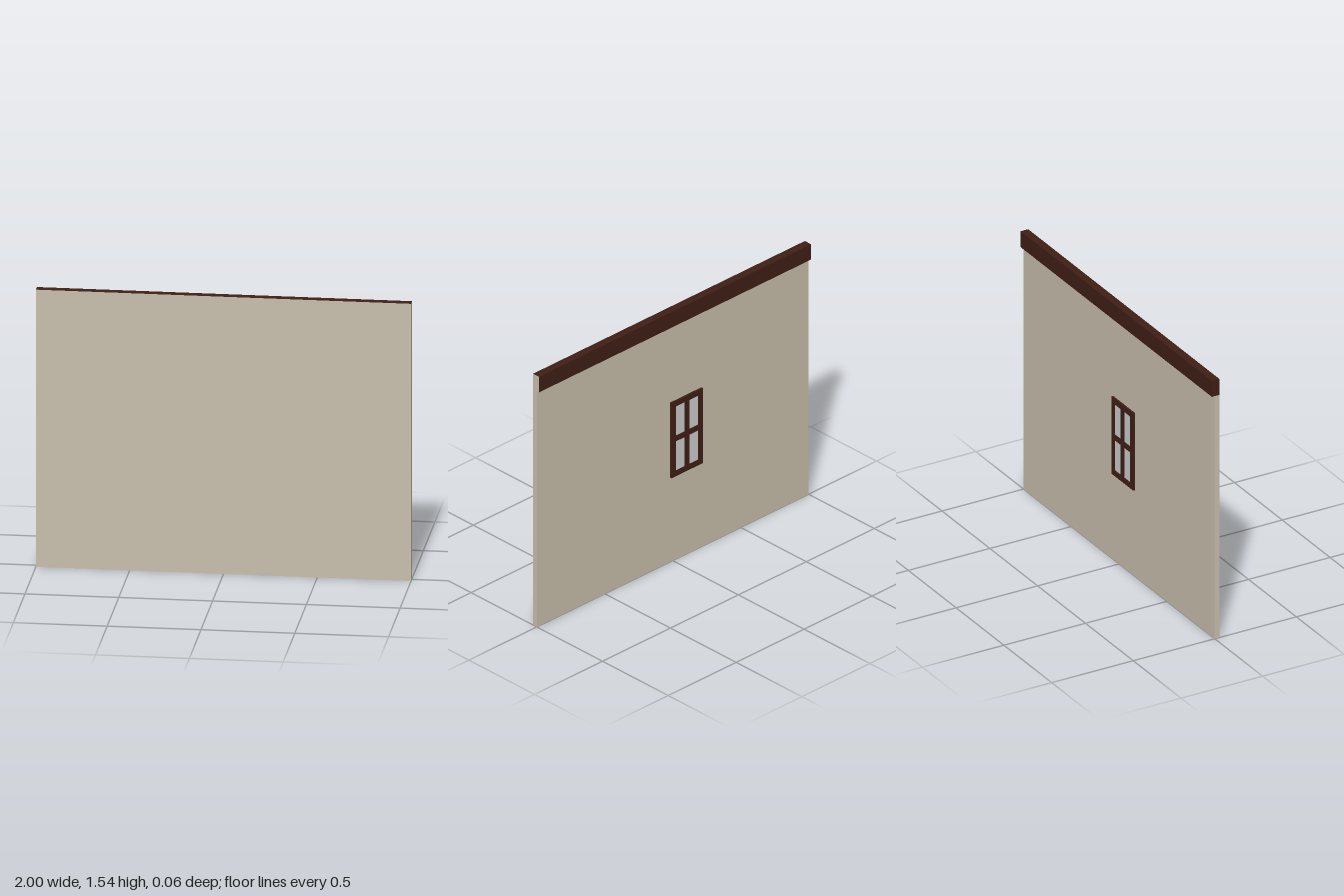
import * as THREE from 'three';

const plaster = new THREE.MeshStandardMaterial({ color: 0xc8beab });
const wood = new THREE.MeshStandardMaterial({ color: 0x3f1f15 });
const glass = new THREE.MeshStandardMaterial({ color: 0xcccccc });

// Box given by its lower and upper corners
function box(name, [x0, y0, z0], [x1, y1, z1], material) {
  const mesh = new THREE.Mesh(new THREE.BoxGeometry(x1 - x0, y1 - y0, z1 - z0), material);
  mesh.position.set((x0 + x1) / 2, (y0 + y1) / 2, (z0 + z1) / 2);
  mesh.name = name;
  return mesh;
}

// Four-pane window: one extruded frame with holes, and a pane in each hole
function createWindow(x0, y0, width, height, bar, depth) {
  const group = new THREE.Group();
  group.name = 'window';
  const paneW = (width - 3 * bar) / 2;
  const paneH = (height - 3 * bar) / 2;
  const rect = (path, x, y, w, h) =>
    path.moveTo(x, y).lineTo(x + w, y).lineTo(x + w, y + h).lineTo(x, y + h).closePath();

  const outline = rect(new THREE.Shape(), 0, 0, width, height);
  for (let col = 0; col < 2; col++) {
    for (let row = 0; row < 2; row++) {
      const x = bar + col * (paneW + bar);
      const y = bar + row * (paneH + bar);
      outline.holes.push(rect(new THREE.Path(), x, y, paneW, paneH));
      group.add(box('windowPane', [x, y, depth * 0.4], [x + paneW, y + paneH, depth * 0.6], glass));
    }
  }
  const frame = new THREE.Mesh(
    new THREE.ExtrudeGeometry(outline, { depth, bevelEnabled: false }), wood);
  frame.name = 'windowFrame';
  group.add(frame);
  group.position.set(x0, y0, -0.028);
  return group;
}

export function createModel() {
  const model = new THREE.Group();
  model.name = 'wallWithWindow';

  // Plain plastered wall
  model.add(box('wall', [-1, 0, -0.001], [1, 1.445, 0.028], plaster));

  // Top beam: plastered on the front and the +x end, wood elsewhere
  model.add(box('topBeam', [-1, 1.445, -0.018], [1, 1.54, 0.028],
    [plaster, wood, wood, wood, plaster, wood]));

  // Window set just off the back of the wall
  model.add(createWindow(-0.195, 0.53, 0.23, 0.46, 0.033, 0.011));
  return model;
}
